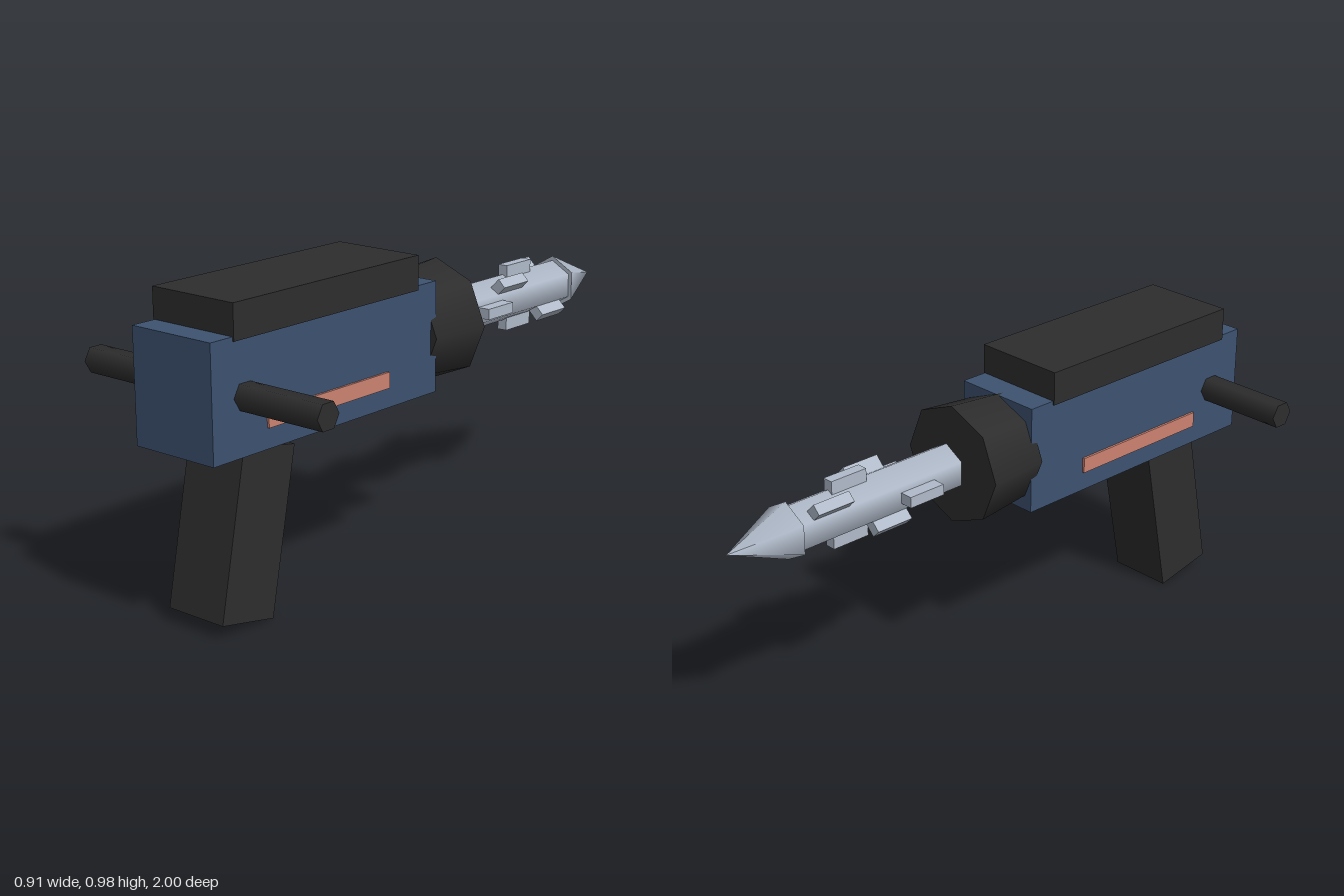
import * as THREE from 'three';

export function createModel() {
  const group = new THREE.Group();
  const material = (name, color) => {
    const m = new THREE.MeshStandardMaterial({ color });
    m.name = name;
    return m;
  };
  const blue = material('body blue', 0x3d5270);
  const black = material('rubber black', 0x2d2d2d);
  const steel = material('bit steel', 0xb0bac9);
  const salmon = material('stripe salmon', 0xcc8270);
  const axisY = 0.715;

  const add = (name, geometry, mat, x, y, z) => {
    const mesh = new THREE.Mesh(geometry, mat);
    mesh.name = name;
    mesh.position.set(x, y, z);
    group.add(mesh);
    return mesh;
  };
  const box = (name, mat, w, h, d, x, y, z) =>
    add(name, new THREE.BoxGeometry(w, h, d), mat, x, y, z);
  // Round part lying along z, from zFront (radius rFront) back to zBack (radius rBack)
  const turned = (name, mat, rFront, rBack, zFront, zBack, sides) =>
    add(name, new THREE.CylinderGeometry(rBack, rFront, zFront - zBack, sides).rotateX(-Math.PI / 2),
      mat, 0, axisY, (zFront + zBack) / 2);

  // Housing and top cover
  box('body', blue, 0.304, 0.35, 0.96, 0, axisY, 0.52);
  box('topCover', black, 0.314, 0.108, 0.785, 0, 0.931, 0.523);

  // Tilted grip
  box('grip', black, 0.216, 0.518, 0.21, 0, 0.276, 0.786).rotation.x = -0.2;

  // Side handles and stripes
  for (const side of [1, -1]) {
    const handle = new THREE.CylinderGeometry(0.044, 0.044, 0.32, 6).rotateZ(Math.PI / 2);
    add('sideHandle', handle, black, side * 0.297, axisY, 0.872);
    box('sideStripe', salmon, 0.009, 0.05, 0.52, side * 0.155, 0.628, 0.528);
  }

  // Chuck, drill bit and point
  turned('chuck', black, 0.175, 0.195, 0.065, -0.15, 8);
  turned('bitShaft', steel, 0.078, 0.078, -0.172, -0.79, 6);
  const point = new THREE.ConeGeometry(0.093, 0.215, 6).rotateX(-Math.PI / 2);
  add('bitPoint', point, steel, 0, axisY, -0.8925);

  // Cutting teeth: crossbars through the shaft, each turned a further 45 degrees
  [-0.348, -0.457, -0.567, -0.672].forEach((z, i) => {
    box('bitTooth', steel, 0.22, 0.035, 0.13, 0, axisY, z).rotation.z = i * Math.PI / 4;
  });

  return group;
}
